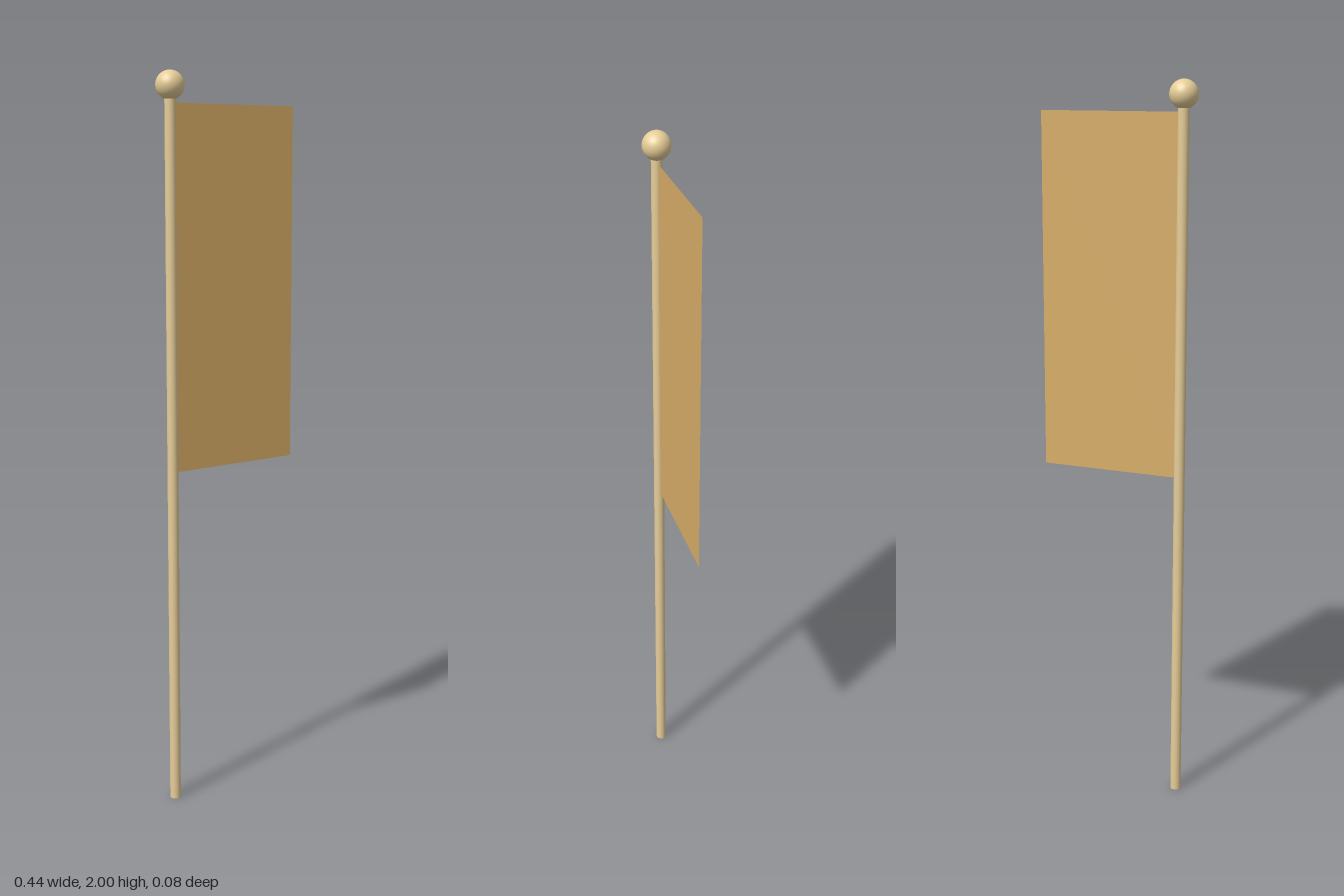
import * as THREE from 'three';

const POLE_X = -0.184;
const POLE_R = 0.015;

export function createModel() {
  const group = new THREE.Group();
  const wood = new THREE.MeshStandardMaterial({ color: 0xe6cd98 });
  const cloth = new THREE.MeshStandardMaterial({ color: 0xd8ae68, side: THREE.DoubleSide });

  const add = (name, geometry, material, x, y) => {
    const mesh = new THREE.Mesh(geometry, material);
    mesh.name = name;
    mesh.position.set(x, y, 0);
    group.add(mesh);
  };

  // Upright pole, running up into the ball
  const poleH = 1.95;
  add('pole', new THREE.CylinderGeometry(POLE_R, POLE_R, poleH, 32), wood, POLE_X, poleH / 2);

  // Ball on top of the pole
  const ballR = 0.038;
  add('finial', new THREE.SphereGeometry(ballR, 32, 24), wood, POLE_X, 2 - ballR);

  // Flat banner, attached along the pole's side
  const left = POLE_X + POLE_R, right = 0.22, bottom = 0.942, top = 1.918;
  add('banner', new THREE.PlaneGeometry(right - left, top - bottom), cloth,
    (left + right) / 2, (bottom + top) / 2);

  return group;
}
